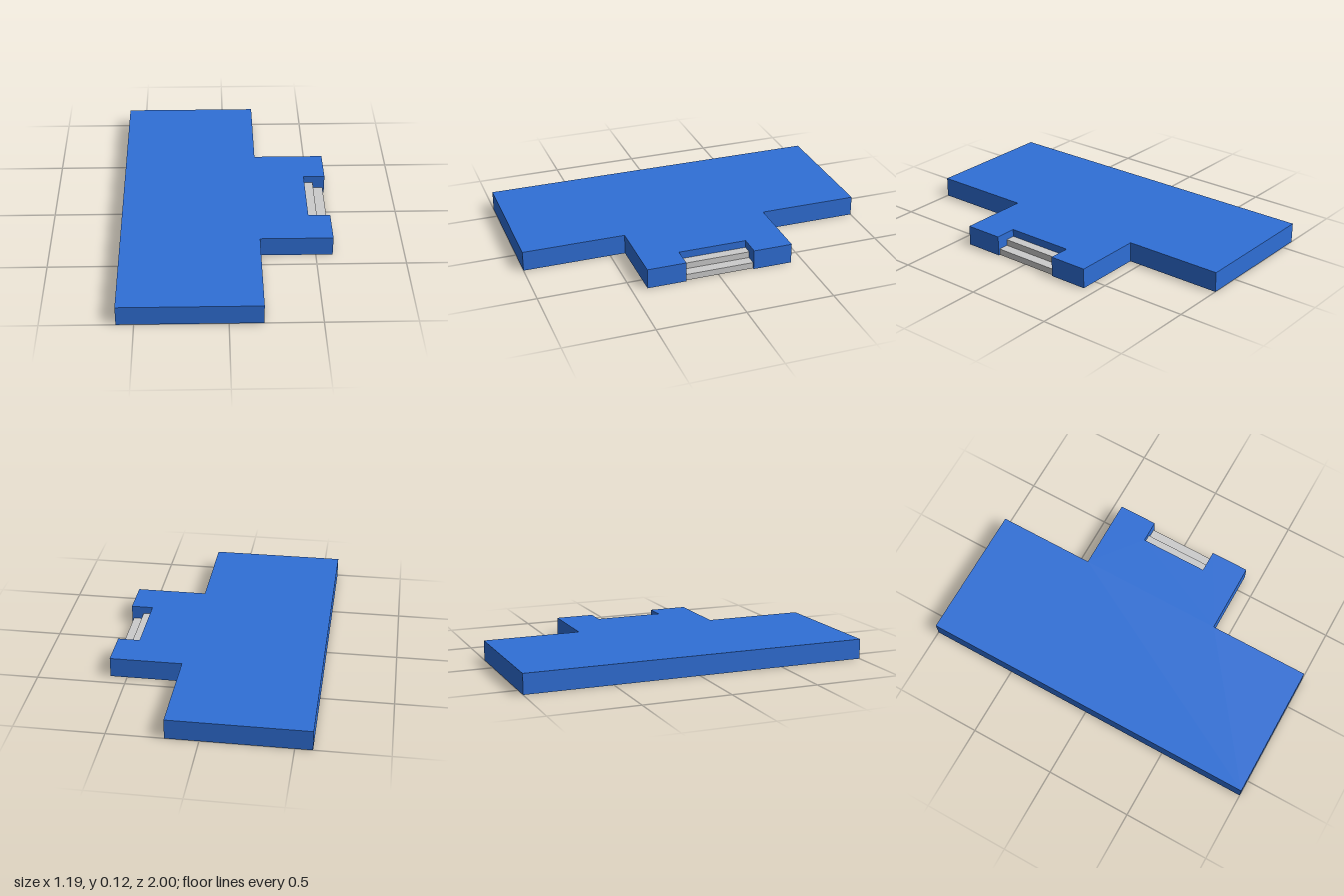
import * as THREE from 'three';

export function createModel() {
  const group = new THREE.Group();
  const blue = new THREE.MeshStandardMaterial({ color: 0x2f6fd6 });
  const grey = new THREE.MeshStandardMaterial({ color: 0xcccccc });
  const height = 0.115;
  const notchBack = -0.205, notchFront = 0.19;

  // Slab outline with a side tab and a notch, as [x, z]
  const outline = [
    [-0.595, 1], [0.185, 1], [0.185, 0.413], [0.595, 0.413],
    [0.595, notchFront], [0.47, notchFront], [0.47, notchBack], [0.595, notchBack],
    [0.595, -0.43], [0.185, -0.43], [0.185, -1], [-0.595, -1],
  ];
  const shape = new THREE.Shape(outline.map(([x, z]) => new THREE.Vector2(x, -z)));
  const slabGeometry = new THREE.ExtrudeGeometry(shape, { depth: height, bevelEnabled: false });
  slabGeometry.rotateX(-Math.PI / 2);
  const slab = new THREE.Mesh(slabGeometry, blue);
  slab.name = 'slab';
  group.add(slab);

  // Two entrance steps filling the notch, extruded along z
  const profile = new THREE.Shape([
    [0.47, 0], [0.585, 0], [0.585, 0.036], [0.525, 0.036], [0.525, 0.072], [0.47, 0.072],
  ].map(([x, y]) => new THREE.Vector2(x, y)));
  const stepGeometry = new THREE.ExtrudeGeometry(profile, { depth: notchFront - notchBack, bevelEnabled: false });
  stepGeometry.translate(0, 0, notchBack);
  const steps = new THREE.Mesh(stepGeometry, grey);
  steps.name = 'entranceSteps';
  group.add(steps);

  return group;
}
